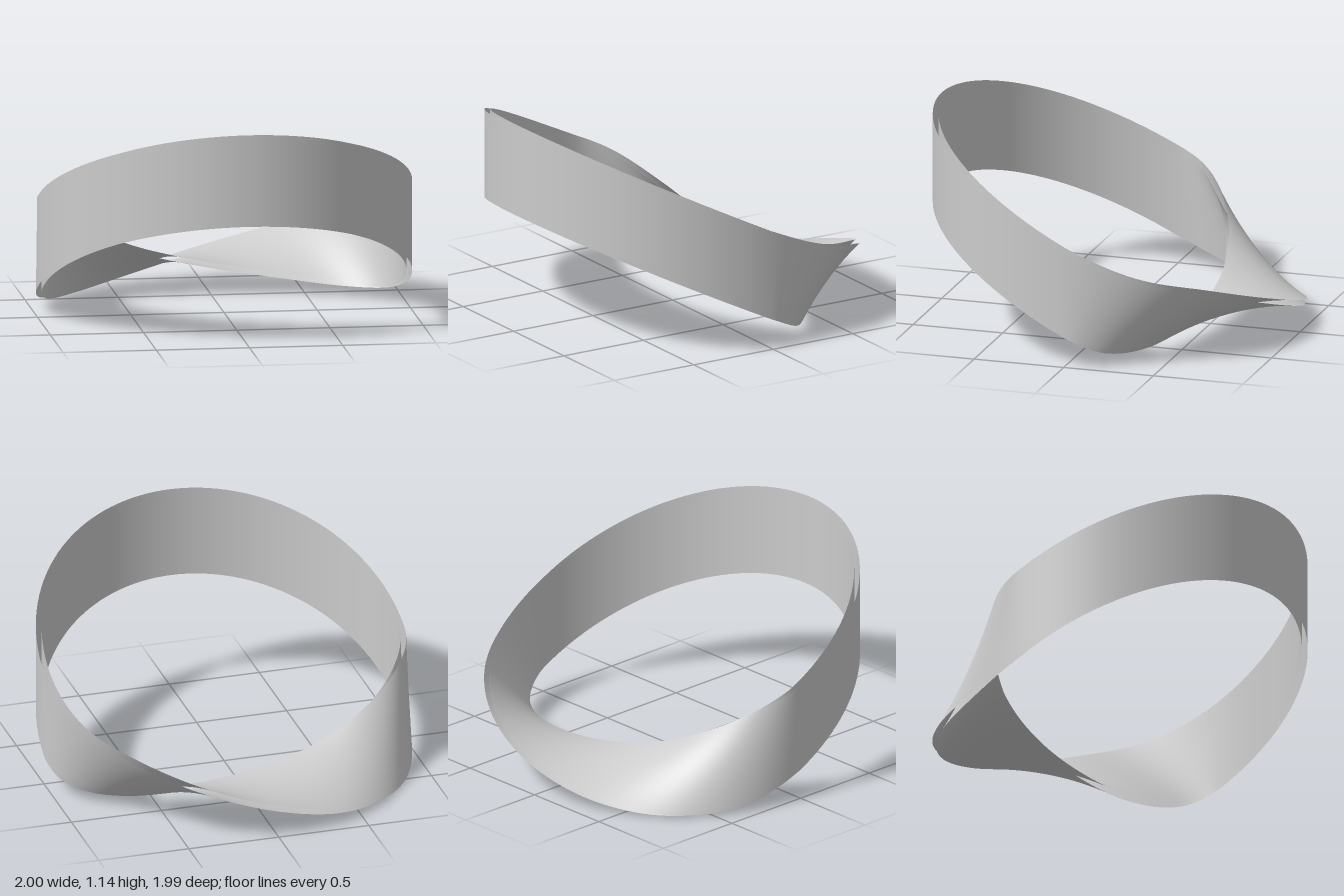
import * as THREE from 'three';

const R = 0.985, HALF = 0.015, STEPS = 144, ACROSS = 16, LAP = Math.PI * 2;

// Edge heights through the twisted half, every 22.5 degrees, with one lead-in and lead-out value
const OUTER_Y = [0.84, 0.655, 0.495, 0.395, 0.277, 0.16, 0.062, 0.01, 0.03, 0.165, 0.35];
const INNER_Y = [0.255, 0.165, 0.08, 0.066, 0.1, 0.16, 0.255, 0.4, 0.55, 0.655, 0.75];

function heightAt(table, a) {
  const t = (a / Math.PI) * 8, i = Math.min(7, Math.floor(t)), f = t - i;
  const [p, q, r, s] = table.slice(i, i + 4);
  return q + 0.5 * f * (r - p + f * (2 * p - 5 * q + 4 * r - s + f * (3 * (q - r) + s - p)));
}

// The two rims of the band for one lap; the back half (a < PI) carries the half twist
function rim(a, first) {
  const c = Math.cos(a), s = Math.sin(a);
  if (a <= Math.PI) {
    return first
      ? new THREE.Vector3(R * c, heightAt(OUTER_Y, a), -R * s)
      : new THREE.Vector3(R * c, heightAt(INNER_Y, a), -0.505 * s);
  }
  return new THREE.Vector3(R * c, (first ? 0.165 : 0.655) - 0.49 * s, -R * s);
}

// Middle surface: on the second lap the rims swap over
function middle(u, v) {
  u = (u + 2 * LAP) % (2 * LAP);
  const second = u >= LAP;
  const a = second ? u - LAP : u;
  return rim(a, !second).lerp(rim(a, second), v);
}

// Skin: middle surface pushed out along its normal, closing after two laps
function skin(u, v) {
  const e = 0.004;
  const along = middle(u + e, v).sub(middle(u - e, v));
  const across = middle(u, 1).sub(middle(u, 0));
  const normal = across.cross(along).normalize();
  return middle(u, v).addScaledVector(normal, HALF);
}

function bandGeometry() {
  const pos = [], idx = [], n = STEPS * 2, w = ACROSS + 1;
  for (let i = 0; i < n; i++) {
    for (let j = 0; j <= ACROSS; j++) {
      pos.push(...skin((i / n) * 2 * LAP, j / ACROSS).toArray());
    }
  }
  for (let i = 0; i < n; i++) {
    for (let j = 0; j < ACROSS; j++) {
      const a = i * w + j, b = ((i + 1) % n) * w + j;
      idx.push(a, a + 1, b, b, a + 1, b + 1);
    }
  }
  const g = new THREE.BufferGeometry();
  g.setAttribute('position', new THREE.Float32BufferAttribute(pos, 3));
  g.setIndex(idx);
  g.computeVertexNormals();
  return g;
}

export function createModel() {
  const group = new THREE.Group();
  group.name = 'twistedBand';
  const band = new THREE.Mesh(
    bandGeometry(),
    new THREE.MeshStandardMaterial({ color: 0xcccccc, side: THREE.DoubleSide })
  );
  band.name = 'bandSkin';
  group.add(band);
  return group;
}
